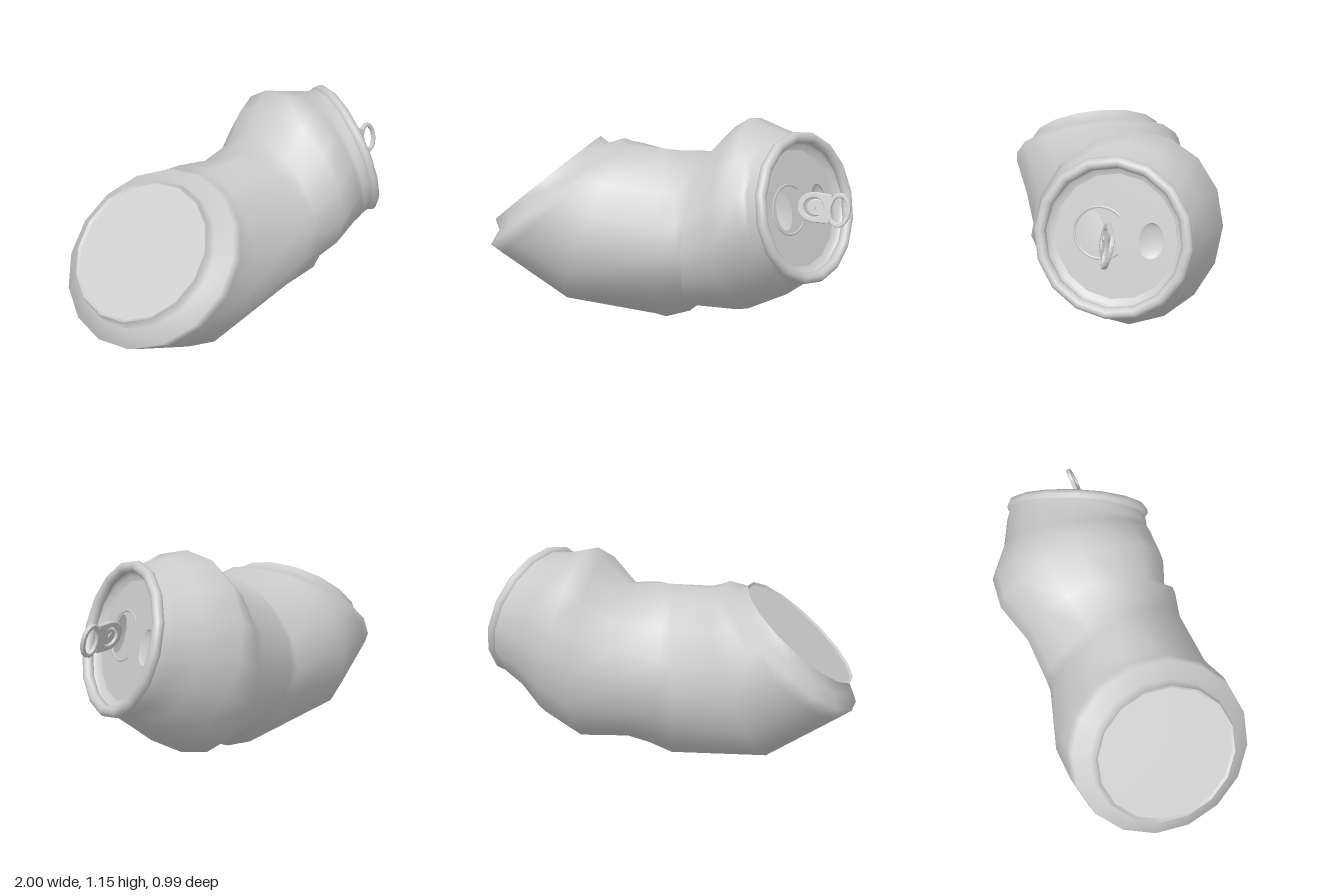
import * as THREE from 'three';

const V = (x, y, z) => new THREE.Vector3(x, y, z);
const SIDES = 16;

// Axes of the tilted lid: N points out of the can, U up, W towards the front
const N = V(0.858, 0.268, 0.437).normalize();
const U = V(0, 1, 0).addScaledVector(N, -N.y).normalize();
const W = N.clone().cross(U);
const LID = V(0.77, 0.745, 0.14);

// Axis of the bent-over base
const BU = V(0.765, 0.643, 0).normalize();
const BN = V(-0.643, 0.765, 0).normalize();

// Cross-section: centre, up half-axis, front half-axis, superellipse power, dent at the lower front
const ring = (c, u, v, p = 2, dent = 0) => ({ c: V(...c), u: V(...u), v: V(...v), p, dent });
const baseRing = (x, y, r) => ring([x, y, -0.015], BU.clone().multiplyScalar(r).toArray(), [0, 0, r]);
const lidRing = (d, r) => ring(
  LID.clone().addScaledVector(N, d).toArray(),
  U.clone().multiplyScalar(r).toArray(),
  W.clone().multiplyScalar(r).toArray(),
);

function loft(rings) {
  const pos = [], idx = [];
  const pow = (t, p) => Math.sign(t) * Math.abs(t) ** (2 / p);
  rings.forEach(({ c, u, v, p, dent }, i) => {
    for (let j = 0; j < SIDES; j++) {
      const a = (j / SIDES) * Math.PI * 2;
      const lowFront = a > Math.PI / 2 && a < Math.PI ? Math.sin(2 * a) ** 2 : 0;
      const s = 1 - dent * lowFront;
      const q = c.clone().addScaledVector(u, s * pow(Math.cos(a), p)).addScaledVector(v, s * pow(Math.sin(a), p));
      pos.push(q.x, q.y, q.z);
      if (i === rings.length - 1) continue;
      const k = i * SIDES + j, n = i * SIDES + (j + 1) % SIDES;
      idx.push(k, n, k + SIDES, n, n + SIDES, k + SIDES);
    }
  });
  const g = new THREE.BufferGeometry();
  g.setAttribute('position', new THREE.Float32BufferAttribute(pos, 3));
  g.setIndex(idx);
  g.computeVertexNormals();
  return g;
}

const ellipse = (P, x, y, rx, ry) => new P().absellipse(x, y, rx, ry, 0, Math.PI * 2, false, 0);

export function createModel() {
  const model = new THREE.Group();
  model.name = 'crushedCan';
  const mat = new THREE.MeshStandardMaterial({ color: 0xcccccc, side: THREE.DoubleSide });
  const add = (parent, name, geo) => {
    const m = new THREE.Mesh(geo, mat);
    m.name = name;
    parent.add(m);
    return m;
  };

  // Crumpled body, from base to neck
  add(model, 'body', loft([
    baseRing(-0.69, 0.74, 0.373),
    baseRing(-0.655, 0.695, 0.39),
    ring([-0.635, 0.667, -0.015], [0.365, 0.307, 0], [0, 0, 0.477]),
    ring([-0.58, 0.637, -0.018], [0.35, 0.322, 0], [0, 0, 0.485]),
    ring([-0.37, 0.515, -0.033], [0.18, 0.445, 0], [0, 0, 0.467]),
    ring([0, 0.483, 0.02], [0, 0.483, 0], [0.05, 0, 0.415], 1.7, 0.11),
    ring([0.1, 0.51, 0.037], [-0.04, 0.452, 0], [0.08, 0, 0.43], 1.85, 0.12),
    ring([0.22, 0.535, 0.005], [0.015, 0.425, 0], [-0.035, 0, 0.4], 2, 0.03),
    ring([0.41, 0.6, 0.005], [-0.05, 0.5, -0.01], [-0.06, 0, 0.465], 2, 0.11),
    ring([0.555, 0.685, 0.01], [-0.12, 0.465, -0.03], [-0.05, 0, 0.452], 2, 0.06),
    ring([0.64, 0.712, 0.065], [-0.11, 0.41, -0.045], [-0.11, 0, 0.375]),
    lidRing(-0.07, 0.385),
    lidRing(-0.01, 0.37),
  ]));

  // Base lip and flat disc
  add(model, 'baseLip', loft([baseRing(-0.683, 0.732, 0.36), baseRing(-0.69, 0.74, 0.373)]));
  const disc = add(model, 'baseDisc', new THREE.CircleGeometry(0.36, SIDES));
  disc.position.set(-0.683, 0.732, -0.015);
  disc.quaternion.setFromRotationMatrix(new THREE.Matrix4().makeBasis(BU, V(0, 0, -1), BN));

  // Lid frame: local x is up, y is towards the front, z points outwards
  const lid = new THREE.Group();
  lid.name = 'lid';
  lid.position.copy(LID);
  lid.quaternion.setFromRotationMatrix(new THREE.Matrix4().makeBasis(U, W, N));
  model.add(lid);

  add(lid, 'rim', new THREE.TorusGeometry(0.36, 0.029, 10, SIDES));
  const wall = [[0.345, -0.01], [0.34, -0.025], [0.325, -0.04], [0.301, -0.048]];
  add(lid, 'lidWall', new THREE.LatheGeometry(wall.map(([r, h]) => new THREE.Vector2(r, h)), SIDES))
    .rotation.set(Math.PI / 2, 0, 0);

  // Lid panel with the opened mouth and the finger dimple cut out
  const panel = new THREE.Shape();
  for (let j = 0; j < SIDES; j++) {
    const a = (j / SIDES) * Math.PI * 2;
    panel[j ? 'lineTo' : 'moveTo'](0.301 * Math.cos(a), 0.301 * Math.sin(a));
  }
  panel.holes.push(ellipse(THREE.Path, 0.01, 0.12, 0.098, 0.06), ellipse(THREE.Path, 0, -0.175, 0.088, 0.06));
  add(lid, 'lidPanel', new THREE.ShapeGeometry(panel, 10)).position.z = -0.048;

  // Raised bead around the mouth, open towards the lid centre
  const bead = add(lid, 'mouthBead', new THREE.TorusGeometry(1, 0.06, 6, 32, Math.PI * 1.5));
  bead.geometry.rotateZ(-Math.PI * 0.25);
  bead.position.set(0.01, 0.075, -0.049);
  bead.scale.set(0.125, 0.13, 0.1);

  // Fingertip dimple, ramping down from the centre to a steep outer edge
  const bowlGeo = new THREE.SphereGeometry(1, 20, 6, 0, Math.PI * 2, Math.PI / 2, Math.PI / 2).rotateX(Math.PI / 2);
  const bp = bowlGeo.attributes.position;
  for (let i = 0; i < bp.count; i++) bp.setY(i, bp.getY(i) + 0.6 * bp.getZ(i));
  bowlGeo.computeVertexNormals();
  const bowl = add(lid, 'fingerDimple', bowlGeo);
  bowl.position.set(0, -0.175, -0.048);
  bowl.scale.set(0.088, 0.06, 0.025);

  // Raised pull tab: local x points out of the can, y across the tab
  const tab = new THREE.Group();
  tab.name = 'pullTab';
  const tx = V(0.99, -0.02, 0.08).normalize();
  const tz = V(0, 0.26, 0.96).addScaledVector(tx, -0.08).normalize();
  const ty = tz.clone().cross(tx).normalize();
  tab.quaternion.setFromRotationMatrix(new THREE.Matrix4().makeBasis(tx, ty, tx.clone().cross(ty)));
  tab.position.set(0.81, 0.765, 0.18);
  model.add(tab);

  const bevel = { bevelEnabled: true, bevelThickness: 0.006, bevelSize: 0.005, bevelSegments: 2, curveSegments: 10 };
  const extrude = (s, depth) => new THREE.ExtrudeGeometry(s, { ...bevel, depth }).translate(0, 0, -depth / 2);

  // Finger ring
  const loop = ellipse(THREE.Shape, 0.129, 0, 0.054, 0.082);
  loop.holes.push(ellipse(THREE.Path, 0.129, 0, 0.043, 0.069));
  add(tab, 'tabRing', extrude(loop, 0.01));

  // Nose plate with a slot around the rivet tongue
  const nose = new THREE.Shape();
  nose.moveTo(0.084, -0.068);
  nose.lineTo(0.01, -0.072);
  nose.bezierCurveTo(-0.105, -0.07, -0.105, 0.07, 0.01, 0.072);
  nose.lineTo(0.084, 0.068);
  nose.closePath();
  nose.holes.push(ellipse(THREE.Path, 0.003, 0, 0.055, 0.053));
  add(tab, 'tabNose', extrude(nose, 0.01));
  const tongue = ellipse(THREE.Shape, 0.016, 0, 0.045, 0.038);
  add(tab, 'tabTongue', extrude(tongue, 0.004));
  add(tab, 'rivet', new THREE.CylinderGeometry(0.015, 0.019, 0.028, 12)).rotation.x = Math.PI / 2;

  return model;
}
